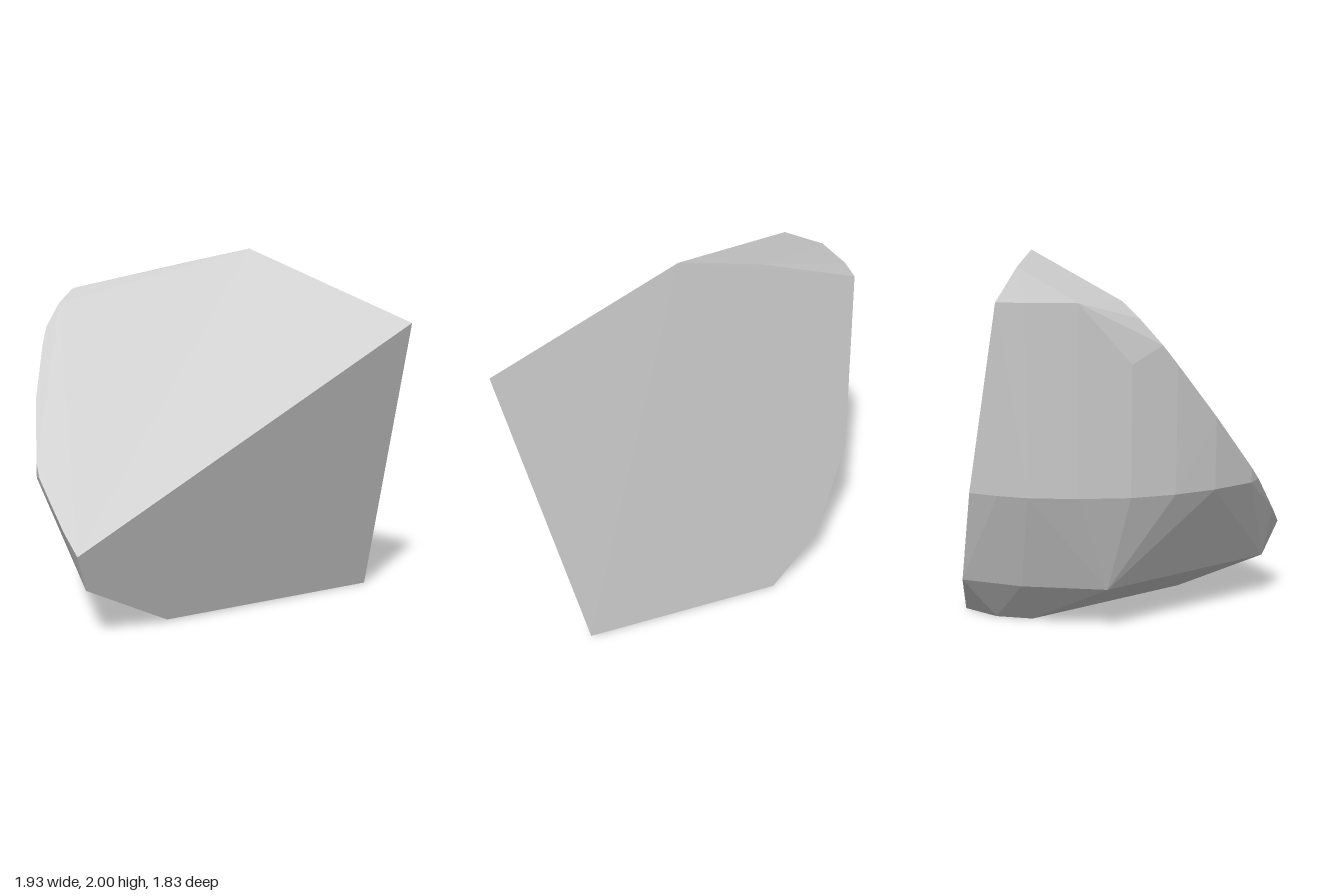
import * as THREE from 'three';
import { ConvexGeometry } from 'three/addons/geometries/ConvexGeometry.js';

const V = (x, y, z) => new THREE.Vector3(x, y, z);

// Main corners where the three big fracture faces meet
const tip = V(0.83, 1.597, 0.915);
const apex = V(0.44, 2, 0.02);
const foot = V(0.965, 0, 0.505);
const side = V(-0.965, 0.475, 0.335);

const plane = (a, b, c) => new THREE.Plane().setFromCoplanarPoints(a, b, c);
const solveX = (p, y, z) => V(-(p.constant + p.normal.y * y + p.normal.z * z) / p.normal.x, y, z);
const solveZ = (p, x, y) => V(x, y, -(p.constant + p.normal.x * x + p.normal.y * y) / p.normal.z);

export function createModel() {
  const group = new THREE.Group();
  group.name = 'rock';
  const stone = new THREE.MeshStandardMaterial({ color: 0xc7c7c7 });
  stone.name = 'light grey stone';

  const points = [tip, apex, foot, side];

  // Rim of the sloping upper face
  const slope = plane(tip, apex, side);
  for (const [x, y] of [[-0.39, 1.77], [-0.48, 1.69], [-0.59, 1.56], [-0.65, 1.46],
    [-0.8, 1.18], [-0.93, 0.88], [-0.95, 0.81], [-0.967, 0.58]]) points.push(solveZ(slope, x, y));

  // Rim of the steep side face
  const steep = plane(tip, apex, foot);
  for (const [y, z] of [[1.92, -0.4], [1.83, -0.7], [1.77, -0.9], [0.8, -0.913],
    [0.27, -0.77], [0, -0.525]]) points.push(solveX(steep, y, z));

  // Lower rim of the front face
  const front = plane(tip, foot, side);
  for (const [x, y] of [[-0.38, 0.01], [-0.89, 0.275]]) points.push(solveZ(front, x, y));

  // Rounded back: upper corners, widest ring, lower ring and base
  points.push(V(0, 1.77, -0.875), V(-0.24, 1.77, -0.785), V(-0.47, 1.47, -0.66));
  for (const [x, z] of [[0.16, -0.905], [0, -0.88], [-0.24, -0.79], [-0.47, -0.665], [-0.65, -0.51],
    [-0.8, -0.33], [-0.93, -0.11]]) points.push(V(x, 0.8, z));
  points.push(V(0.13, 0.265, -0.72), V(-0.3, 0.26, -0.57));
  points.push(V(0.38, 0, -0.56), V(0.18, 0, -0.51));

  const rock = new THREE.Mesh(new ConvexGeometry(points), stone);
  rock.name = 'rockBody';
  group.add(rock);
  return group;
}
